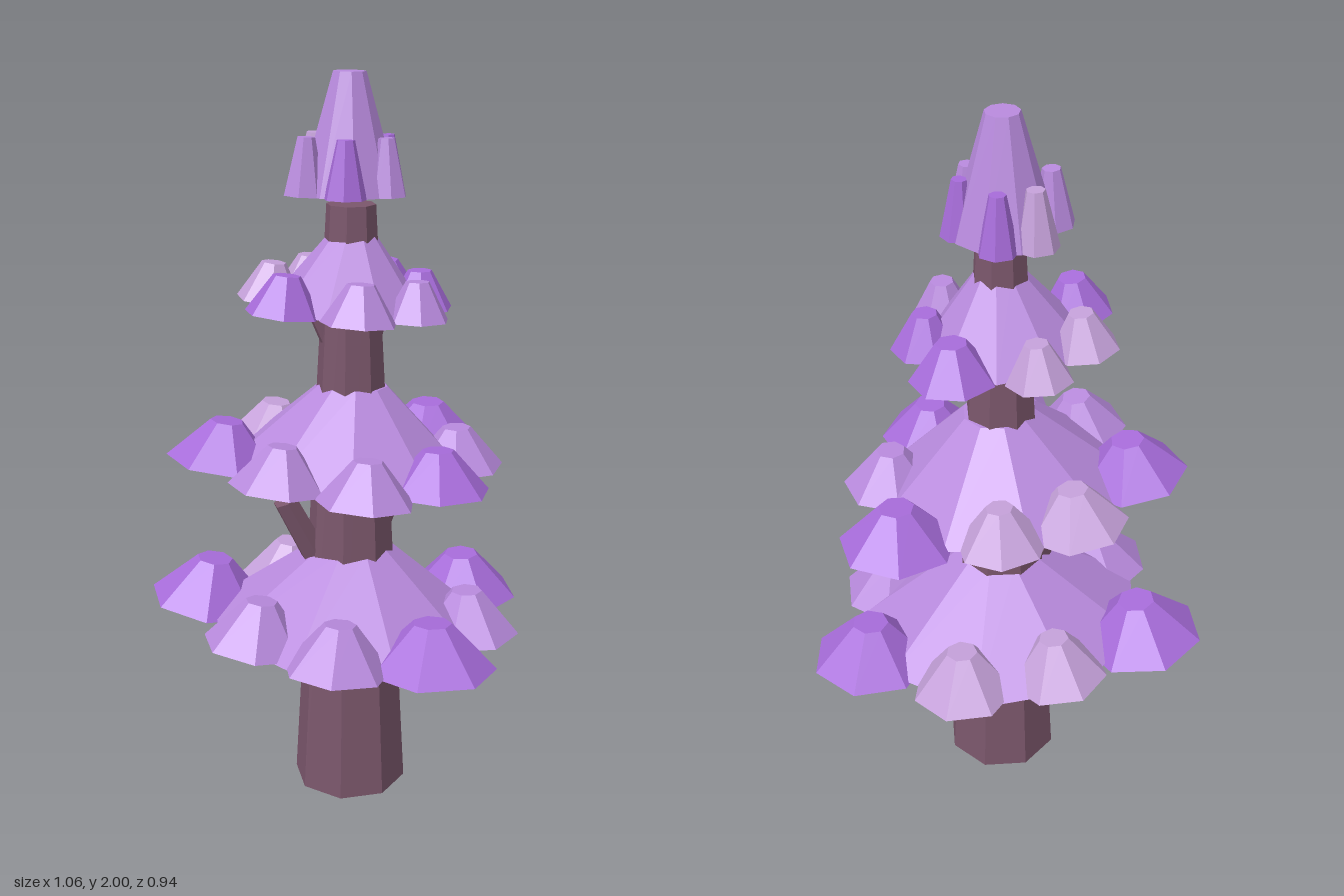
import * as THREE from 'three';

const DEG = Math.PI / 180;
const CX = -0.015, CZ = -0.055;

function mat(name, color) {
  const m = new THREE.MeshStandardMaterial({ color, flatShading: true });
  m.name = name;
  return m;
}

export function createModel() {
  const bark = mat('bark', 0x7a566b);
  const lilac = mat('lilac', 0xb88add);
  const violet = mat('violet', 0xa76cda);
  const pink = mat('palePink', 0xc5a1da);
  const model = new THREE.Group();
  model.name = 'tree';

  // Tapered frustum standing on its own base
  function frustum(name, rTop, rBase, h, sides, material, start = 0) {
    const g = new THREE.CylinderGeometry(rTop, rBase, h, sides, 1, false, start);
    g.translate(0, h / 2, 0);
    const m = new THREE.Mesh(g, material);
    m.name = name;
    return m;
  }

  // Trunk, leaning very slightly
  const trunk = frustum('trunk', 0.065, 0.16, 1.67, 8, bark, 0.3);
  trunk.position.set(CX, 0, CZ);
  trunk.rotation.z = -0.005;
  model.add(trunk);

  // Branch stubs: start, end, radius at the root
  const branches = [
    [[-0.09, 0.66, -0.06], [-0.2, 0.88, -0.05], 0.04],
    [[0.05, 0.74, -0.06], [0.16, 0.99, -0.05], 0.04],
    [[-0.05, 1.28, -0.06], [-0.12, 1.44, -0.07], 0.028],
    [[0.04, 1.28, -0.06], [0.1, 1.44, -0.07], 0.028],
  ];
  for (const [a, b, r] of branches) {
    const from = new THREE.Vector3(...a);
    const dir = new THREE.Vector3(...b).sub(from);
    const branch = frustum('branch', r * 0.85, r, dir.length(), 6, bark);
    branch.position.copy(from);
    branch.quaternion.setFromUnitVectors(new THREE.Vector3(0, 1, 0), dir.normalize());
    model.add(branch);
  }

  // Foliage tiers; each clump is [angle from +x towards +z, distance, radius, material]
  const tiers = [
    {
      y: 0.5, top: 0.73, rTop: 0.1, rBase: 0.4, lean: -0.07, tilt: 0.09, h: 0.125, cap: 0.3,
      clumps: [[-16, 0.405, 0.165, violet], [28, 0.335, 0.145, lilac], [72, 0.365, 0.175, violet],
        [114, 0.34, 0.145, lilac], [158, 0.33, 0.145, lilac], [209, 0.41, 0.17, violet],
        [251, 0.315, 0.135, pink], [298, 0.33, 0.14, pink]],
    },
    {
      y: 0.965, top: 1.19, rTop: 0.09, rBase: 0.33, lean: -0.075, tilt: 0.08, h: 0.11, cap: 0.3,
      clumps: [[-33, 0.365, 0.155, violet], [11, 0.3, 0.13, lilac], [58, 0.3, 0.14, violet],
        [101, 0.325, 0.13, lilac], [145, 0.305, 0.13, lilac], [191, 0.345, 0.15, violet],
        [238, 0.285, 0.135, pink], [280, 0.275, 0.12, pink]],
    },
    {
      y: 1.4, top: 1.6, rTop: 0.055, rBase: 0.21, lean: -0.07, tilt: 0.06, h: 0.1, cap: 0.36,
      clumps: [[-45, 0.21, 0.11, violet], [4, 0.195, 0.09, violet], [52, 0.21, 0.085, lilac],
        [101, 0.205, 0.1, lilac], [157, 0.22, 0.1, violet], [207, 0.21, 0.09, pink],
        [256, 0.215, 0.085, pink]],
    },
    {
      y: 1.698, top: 2, rTop: 0.043, rBase: 0.13, lean: -0.015, tilt: 0.04, h: 0.145, cap: 0.42,
      clumps: [[-73, 0.112, 0.05, violet], [0, 0.11, 0.045, violet], [48, 0.115, 0.05, lilac],
        [112, 0.12, 0.055, violet], [172, 0.125, 0.055, lilac], [237, 0.115, 0.055, pink]],
    },
  ];

  tiers.forEach((t, i) => {
    const tier = new THREE.Group();
    tier.name = 'foliageTier' + (i + 1);
    tier.position.set(CX, t.y, CZ);
    tier.rotation.z = t.lean;
    tier.add(frustum('foliageCone', t.rTop, t.rBase, t.top - t.y, 9, lilac, i * 0.4));
    for (const [angle, dist, r, material] of t.clumps) {
      const arm = new THREE.Group();
      arm.name = 'clumpArm';
      arm.rotation.y = -angle * DEG;
      const clump = frustum('leafClump', r * t.cap, r, t.h, 7, material, Math.PI / 2);
      clump.position.x = dist;
      clump.rotation.z = t.tilt;
      arm.add(clump);
      tier.add(arm);
    }
    model.add(tier);
  });

  return model;
}
